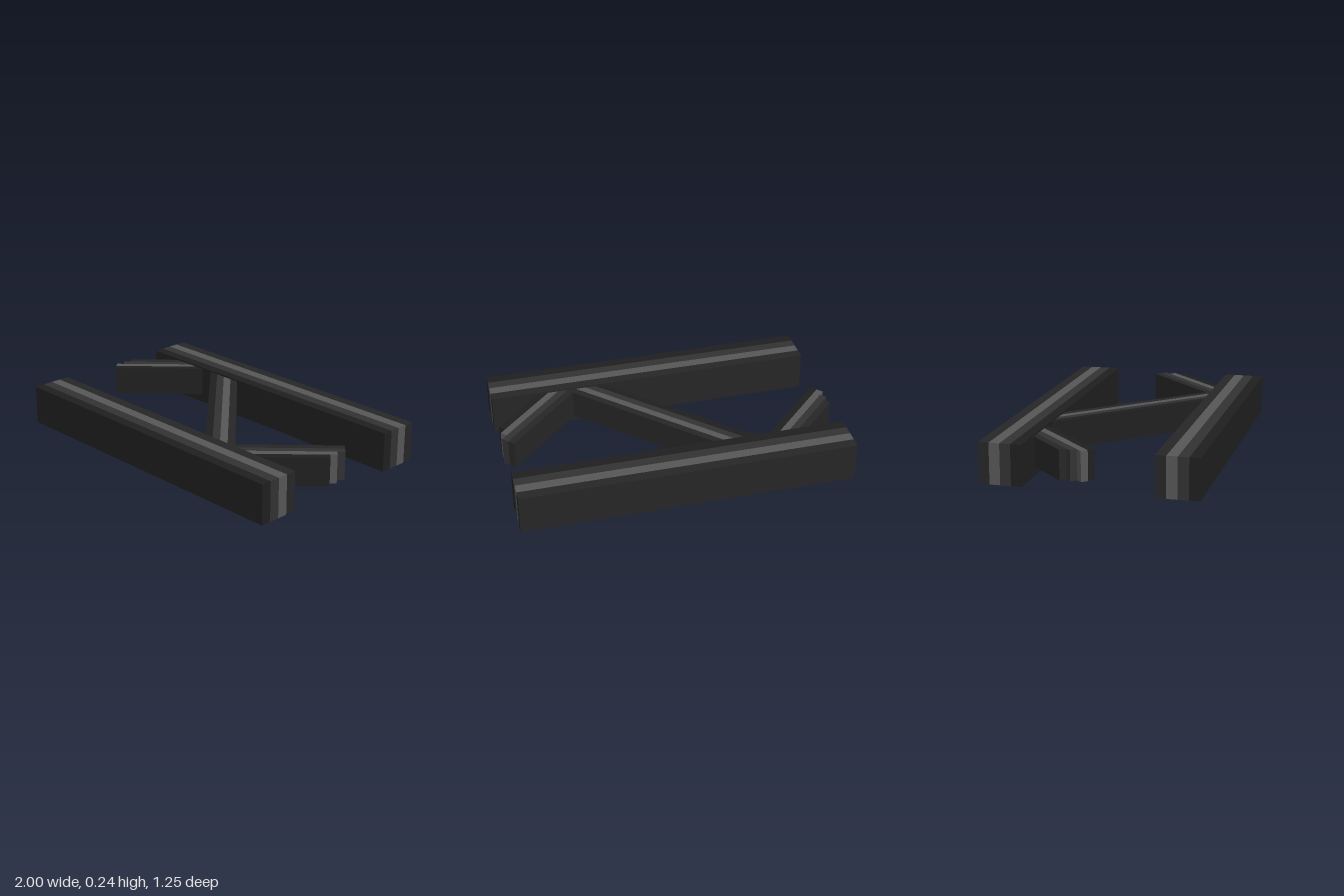
import * as THREE from 'three';

const DARK = 0x1f1f1f, BACK = 0x262626, LIGHT = 0x565656, MID = 0x323232;

// A beam made of four long strips side by side. Starts and ends run along the
// beam, strips are laid out from local -z to +z around the centre line.
function beam(name, { angle = 0, centre, width, y0, y1, starts, ends, colors }) {
  const group = new THREE.Group();
  group.name = name;
  group.rotation.y = angle;
  const w = width / colors.length;
  colors.forEach((color, i) => {
    const a = starts[i], b = ends[i];
    const strip = new THREE.Mesh(
      new THREE.BoxGeometry(b - a, y1 - y0, w),
      new THREE.MeshStandardMaterial({ color })
    );
    strip.name = `${name}Strip${i + 1}`;
    strip.position.set((a + b) / 2, (y0 + y1) / 2, centre + (i - 1.5) * w);
    group.add(strip);
  });
  return group;
}

export function createModel() {
  const model = new THREE.Group();
  model.name = 'railFrame';
  const four = (v) => [v, v, v, v];
  const s = Math.SQRT1_2;
  const diag = (list) => list.map((v) => v * s);

  // Two parallel rails
  for (const [name, z] of [['frontRail', 0.5], ['backRail', -0.5]]) {
    model.add(beam(name, {
      centre: z, width: 0.25, y0: 0, y1: 0.24,
      starts: four(-1), ends: four(1), colors: [BACK, LIGHT, MID, DARK],
    }));
  }

  // Zigzag braces at 45 degrees, their inner ends buried in the rails
  const brace = { width: 0.246 * s, y0: 0.055, y1: 0.23 };
  model.add(beam('middleBrace', {
    ...brace, angle: -Math.PI / 4, centre: -0.04 * s,
    starts: diag(four(-0.86)), ends: diag(four(0.94)), colors: [BACK, LIGHT, MID, DARK],
  }));

  // Half braces with stepped outer ends
  const half = { ...brace, angle: Math.PI / 4, colors: [BACK, MID, LIGHT, DARK] };
  model.add(beam('leftBrace', {
    ...half, centre: 0.965 * s,
    starts: diag(four(0.065)), ends: diag([1.035, 1.035, 0.97, 0.91]),
  }));
  model.add(beam('rightBrace', {
    ...half, centre: -1.035 * s,
    starts: diag([-0.845, -0.905, -0.965, -0.965]), ends: diag(four(-0.135)),
  }));

  return model;
}
